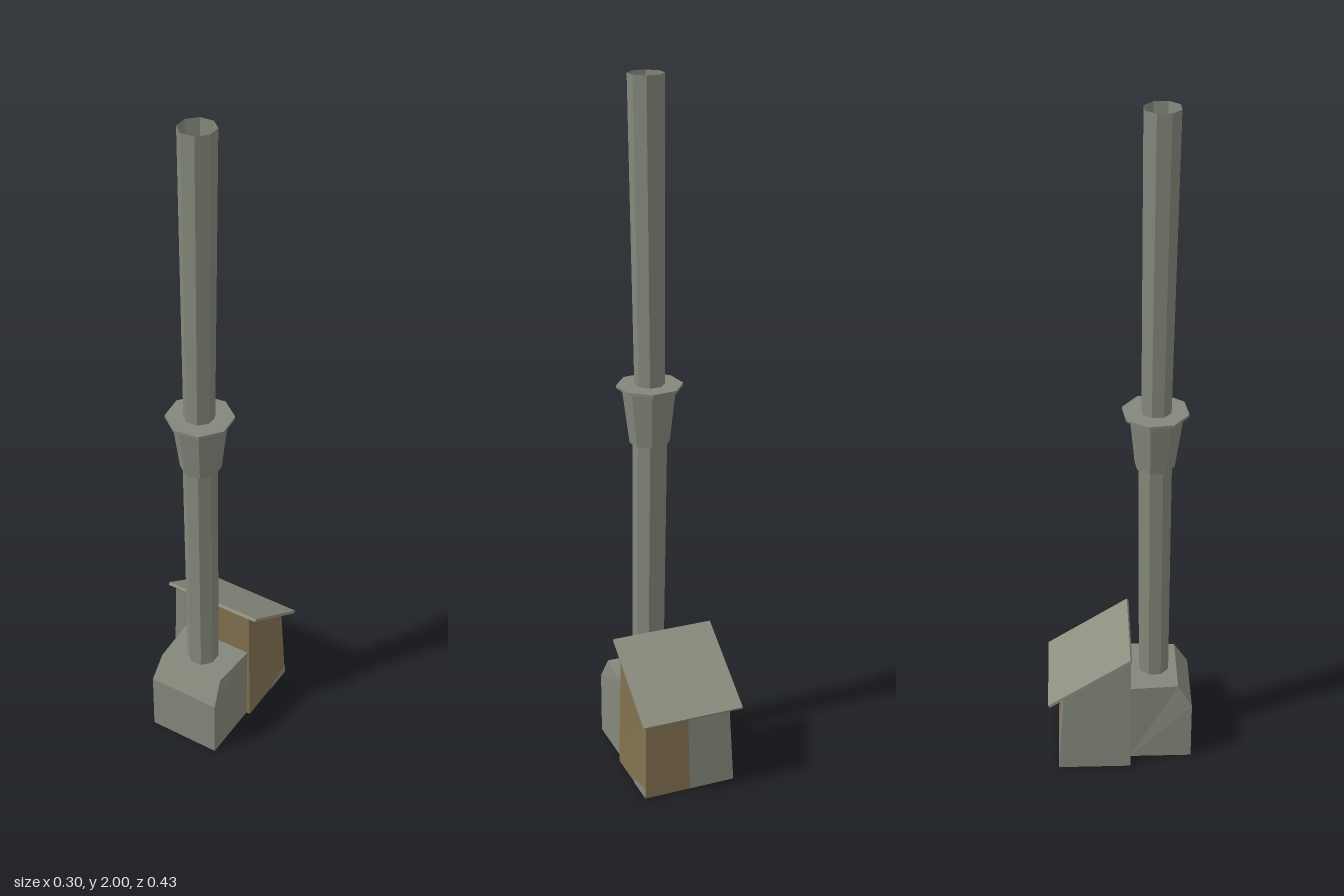
import * as THREE from 'three';

const make = (name, color) => {
  const m = new THREE.MeshStandardMaterial({ color, flatShading: true, side: THREE.DoubleSide });
  m.name = name;
  return m;
};

export function createModel() {
  const grey = make('weathered grey', 0x84887b);
  const roofGrey = make('roof grey', 0x8c8f80);
  const brown = make('rust brown', 0x82714f);
  const root = new THREE.Group();

  const add = (name, geometry, material) => {
    const mesh = new THREE.Mesh(geometry, material);
    mesh.name = name;
    root.add(mesh);
    return mesh;
  };

  // Flat polygons, corners listed counter-clockwise from outside
  const faces = (...polys) => {
    const p = [];
    for (const poly of polys)
      for (let i = 1; i < poly.length - 1; i++) p.push(...poly[0], ...poly[i], ...poly[i + 1]);
    const g = new THREE.BufferGeometry();
    g.setAttribute('position', new THREE.Float32BufferAttribute(p, 3));
    g.computeVertexNormals();
    return g;
  };

  // Eight-sided tube leaning from one centre [x, y, z] to another
  const tube = (a, b, rBottom, rTop, open, turn) => {
    const g = new THREE.CylinderGeometry(rTop, rBottom, b[1] - a[1], 8, 1, open, THREE.MathUtils.degToRad(turn));
    const pos = g.attributes.position;
    for (let i = 0; i < pos.count; i++) {
      const t = pos.getY(i) > 0 ? b : a;
      pos.setXYZ(i, pos.getX(i) + t[0], t[1], pos.getZ(i) + t[2]);
    }
    g.computeVertexNormals();
    return g;
  };

  // Furnace block with a sloped front shoulder, open underneath
  const section = (base, topFront) => [
    [base, 0, 0.03], [base, 0, 0.214], [base, 0.19, 0.214], [topFront, 0.26, 0.172], [base, 0.26, 0.03],
  ];
  const r = section(-0.094, -0.086), l = section(0.125, 0.117);
  const strips = [1, 2, 3].map((i) => [r[i], l[i], l[i + 1], r[i + 1]]);
  add('furnaceBlock', faces(...strips, r, [...l].reverse()), grey);

  // Hut walls, tapering upward under a sloping roof
  const hw = 0.137, tw = 0.128;
  const front = (t) => [[hw * t, 0, 0.03], [tw * t, 0.398, 0.03]];
  const back = (t) => [[hw * t, 0, -0.185], [tw * t, 0.264, -0.167]];
  const panel = ([a, b], [c, d]) => [a, c, d, b];
  const frontSplit = -0.55, backSplit = 0;
  add('hutGreyWalls', faces(
    panel(front(-1), front(frontSplit)),
    panel(back(backSplit), back(-1)),
    panel(back(-1), front(-1))), grey);
  add('hutBrownWalls', faces(
    panel(front(frontSplit), front(1)),
    panel(back(1), back(backSplit)),
    panel(front(1), back(1))), brown);

  // Bare patch low on the left wall
  add('wallPatch', faces([
    [0.1385, 0, -0.095], [0.1385, 0, -0.184], [0.1378, 0.028, -0.183], [0.138, 0.018, -0.11],
  ]), grey);

  // Thin roof sheet falling to the back
  const slope = Math.atan2(0.162, 0.243);
  const roof = add('roof', new THREE.BoxGeometry(0.302, 0.009, 0.289), roofGrey);
  roof.rotation.x = -slope;
  roof.position.set(0, 0.327, -0.0895);

  // Chimney: lower pipe, flared collar, flange and upper pipe
  add('lowerPipe', tube([0.015, 0.25, 0.104], [0.008, 1.0, 0.1], 0.046, 0.049, true, 25), grey);
  add('collar', tube([0.009, 0.975, 0.099], [0.009, 1.14, 0.102], 0.057, 0.077, false, 30), grey);
  add('flange', tube([0.008, 1.139, 0.1], [0.008, 1.147, 0.1], 0.094, 0.094, false, 30), grey);
  add('upperPipe', tube([0.007, 1.14, 0.102], [0.012, 2, 0.108], 0.043, 0.05, true, 25), grey);
  add('flueInside', tube([0.007, 1.3, 0.098], [0.012, 2, 0.108], 0.0005, 0.05, true, 25), grey);

  return root;
}
